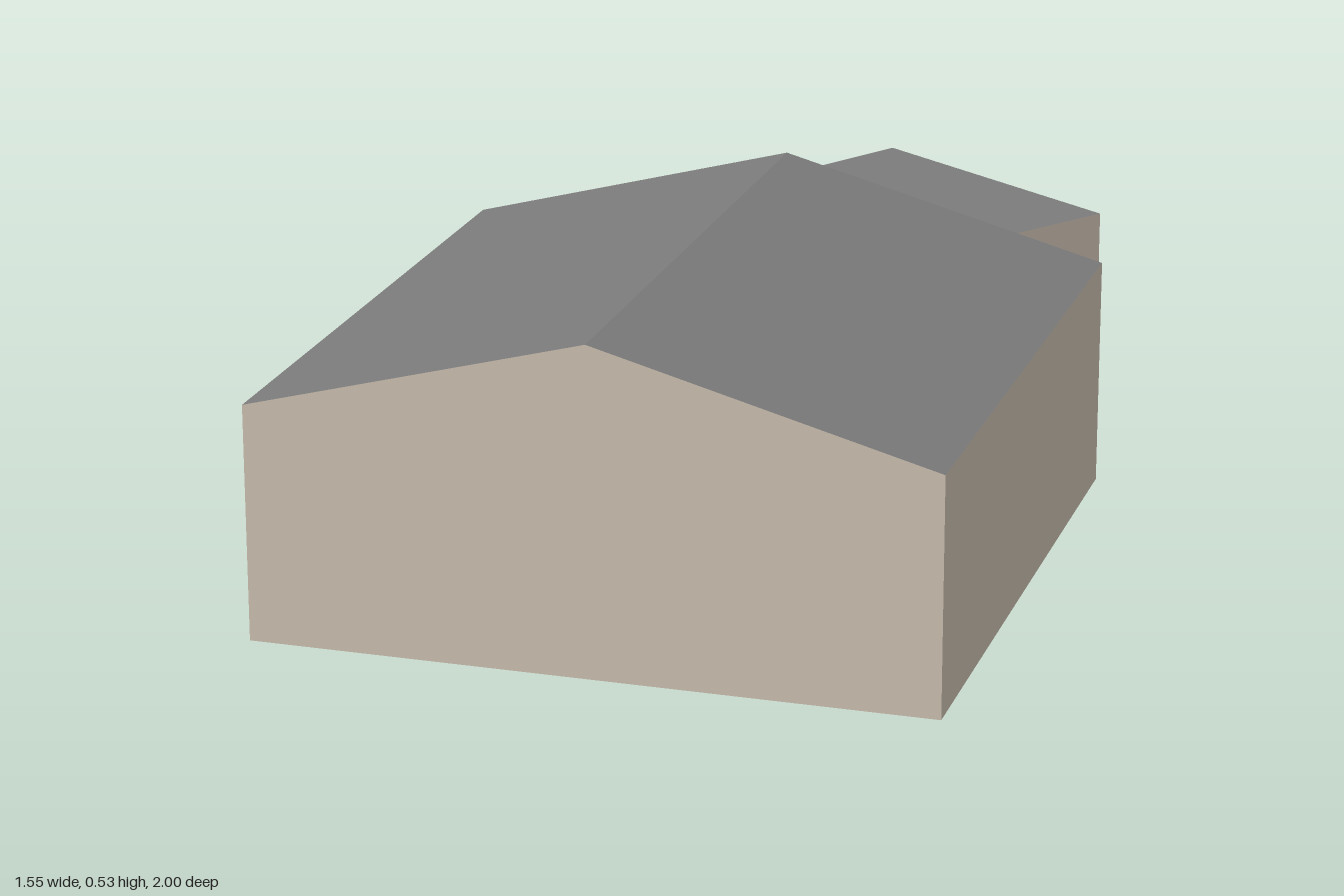
import * as THREE from 'three';

// Flat-shaded mesh from planar convex faces (corners anticlockwise from outside)
function faceMesh(name, faces, material) {
  const pos = [];
  for (const f of faces)
    for (let i = 1; i < f.length - 1; i++) pos.push(...f[0], ...f[i], ...f[i + 1]);
  const geo = new THREE.BufferGeometry();
  geo.setAttribute('position', new THREE.Float32BufferAttribute(pos, 3));
  geo.computeVertexNormals();
  const mesh = new THREE.Mesh(geo, material);
  mesh.name = name;
  return mesh;
}

// Open-bottomed building on four plan corners [x, z], clockwise from above.
// The ridge joins the middles of sides 0-1 and 3-2.
function building(name, plan, eave, ridge, wallMat, roofMat) {
  const at = ([x, z], y) => [x, y, z];
  const mid = (a, b) => [(a[0] + b[0]) / 2, (a[1] + b[1]) / 2];
  const [a, b, c, d] = plan;
  const ridgeBack = at(mid(a, b), ridge);
  const ridgeFront = at(mid(c, d), ridge);

  // Walls, with a gable peak on every second side
  const walls = plan.map((p, i) => {
    const q = plan[(i + 1) % 4];
    const peak = i % 2 === 0 ? [at(mid(p, q), ridge)] : [];
    // start at the peak so the fan stays convex
    return [...peak, at(q, eave), at(q, 0), at(p, 0), at(p, eave)];
  });

  // Two roof slopes
  const slopes = [
    [at(a, eave), at(d, eave), ridgeFront, ridgeBack],
    [ridgeBack, ridgeFront, at(c, eave), at(b, eave)],
  ];

  const group = new THREE.Group();
  group.name = name;
  group.add(faceMesh(name + 'Walls', walls, wallMat), faceMesh(name + 'Roof', slopes, roofMat));
  return group;
}

export function createModel() {
  const wallMat = new THREE.MeshStandardMaterial({ color: 0xc8bcad, side: THREE.DoubleSide });
  wallMat.name = 'beige wall';
  const roofMat = new THREE.MeshStandardMaterial({ color: 0x7b7b7b, side: THREE.DoubleSide });
  roofMat.name = 'grey roof';

  const model = new THREE.Group();
  model.name = 'houseWithShed';

  // Gabled main house
  model.add(building('house',
    [[-0.335, -0.445], [0.665, 0], [0.22, 1], [-0.78, 0.555]], 0.383, 0.53, wallMat, roofMat));

  // Flat-roofed shed
  model.add(building('shed',
    [[0.11, -0.745], [0.48, -1], [0.775, -0.52], [0.405, -0.3]], 0.313, 0.313, wallMat, roofMat));

  return model;
}
